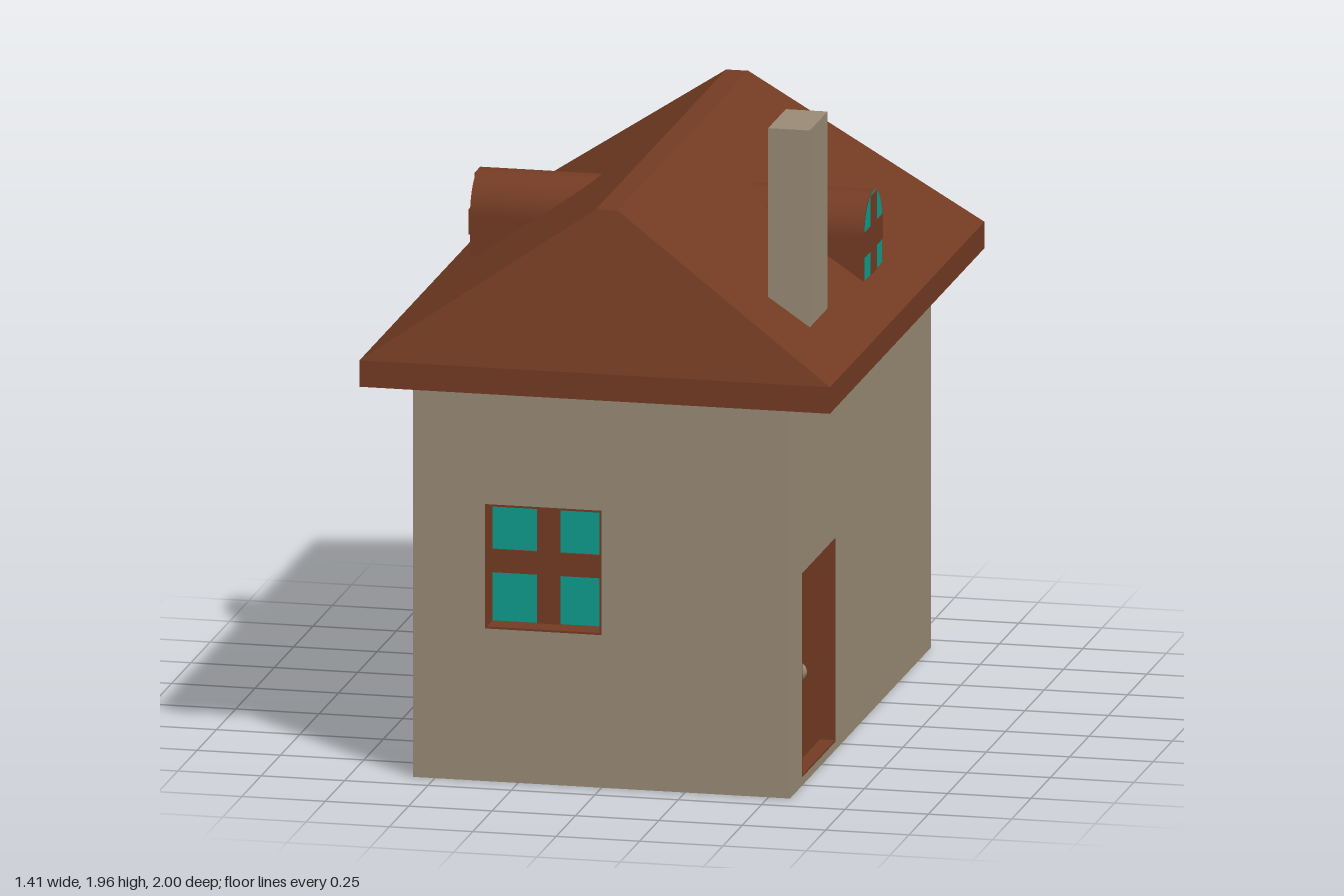
import * as THREE from 'three';

const mat = (name, color, side = THREE.FrontSide) =>
  new THREE.MeshStandardMaterial({ name, color, side });

export function createModel() {
  const house = new THREE.Group();
  house.name = 'house';
  const beige = mat('beige plaster', 0x998a75, THREE.DoubleSide);
  const brown = mat('brown wood', 0x733b23);
  const teal = mat('teal glass', 0x0f9c8d);

  const add = (parent, name, geometry, material, x = 0, y = 0, z = 0) => {
    const mesh = new THREE.Mesh(geometry, material);
    mesh.name = name;
    mesh.position.set(x, y, z);
    parent.add(mesh);
    return mesh;
  };
  const box = (parent, name, material, w, h, d, x, y, z) =>
    add(parent, name, new THREE.BoxGeometry(w, h, d), material, x, y, z);

  // A wall lies in its own x/y plane, facing +z, with an optional opening
  const wall = (name, width, distance, angle, hole) => {
    const group = new THREE.Group();
    group.name = name;
    group.rotation.y = angle;
    group.position.set(Math.sin(angle) * distance, 0, Math.cos(angle) * distance);
    const w = width / 2;
    const shape = new THREE.Shape([[-w, 0], [w, 0], [w, 1.19], [-w, 1.19]].map(p => new THREE.Vector2(...p)));
    if (hole) {
      const { x0, x1, y0, y1 } = hole;
      shape.holes.push(new THREE.Path([[x0, y0], [x0, y1], [x1, y1], [x1, y0]].map(p => new THREE.Vector2(...p))));
    }
    add(group, name + 'Surface', new THREE.ShapeGeometry(shape), beige);
    house.add(group);
    return group;
  };

  // Brown lining of a recessed opening
  const lining = (parent, { x0, x1, y0, y1 }, depth) => {
    const t = 0.006, cx = (x0 + x1) / 2, cy = (y0 + y1) / 2;
    for (const x of [x0 + t / 2, x1 - t / 2]) box(parent, 'jamb', brown, t, y1 - y0, depth, x, cy, -depth / 2);
    for (const y of [y0 + t / 2, y1 - t / 2]) box(parent, 'sill', brown, x1 - x0, t, depth, cx, y, -depth / 2);
  };

  const recessedWindow = (parent, hole, depth) => {
    const { x0, x1, y0, y1 } = hole;
    const w = x1 - x0, h = y1 - y0, cx = (x0 + x1) / 2, cy = (y0 + y1) / 2;
    lining(parent, hole, depth);
    box(parent, 'glass', teal, w, h, 0.008, cx, cy, -depth);
    box(parent, 'verticalBar', brown, 0.07, h, 0.02, cx, cy, -depth);
    box(parent, 'horizontalBar', brown, w, 0.07, 0.02, cx, cy, -depth);
    const boss = add(parent, 'barCentre', new THREE.CylinderGeometry(0.052, 0.052, 0.018, 8), brown, cx, cy, -depth);
    boss.rotation.set(Math.PI / 2, Math.PI / 8, 0);
  };

  // Walls, open underneath
  const frontHole = { x0: -0.35, x1: 0, y0: 0.46, y1: 0.835 };
  const sideHole = { x0: -0.555, x1: -0.007, y0: 0.455, y1: 0.77 };
  const doorHole = { x0: -0.755, x1: -0.325, y0: 0.025, y1: 0.64 };
  recessedWindow(wall('frontWall', 1.13, 0.912, 0, frontHole), frontHole, 0.08);
  recessedWindow(wall('rightWall', 1.824, 0.565, -Math.PI / 2, sideHole), sideHole, 0.12);
  wall('backWall', 1.13, 0.912, Math.PI);
  const doorWall = wall('leftWall', 1.824, 0.565, Math.PI / 2, doorHole);

  // Door with knob
  lining(doorWall, doorHole, 0.05);
  box(doorWall, 'door', brown, 0.43, 0.615, 0.01, -0.54, 0.3325, -0.05);
  add(doorWall, 'doorKnob', new THREE.SphereGeometry(0.029, 8, 6), beige, -0.685, 0.325, -0.03);

  // Hipped roof: upright eaves edge, then slopes up to a narrow flat ridge
  let roof = new THREE.BoxGeometry(1.41, 2, 2, 1, 2, 1);
  const p = roof.attributes.position;
  for (let i = 0; i < p.count; i++) {
    const level = Math.round(p.getY(i)) + 1;
    p.setY(i, [1.19, 1.27, 1.725][level]);
    if (level === 2) {
      p.setX(i, Math.sign(p.getX(i)) * 0.033);
      p.setZ(i, Math.sign(p.getZ(i)) * 0.845);
    }
  }
  roof = roof.toNonIndexed();
  roof.computeVertexNormals();
  add(house, 'roof', roof, brown);

  // Chimney
  box(house, 'chimney', beige, 0.125, 0.595, 0.23, 0.507, 1.6575, 0.56);

  // Arched dormers, one on each slope
  const arch = new THREE.Shape();
  arch.moveTo(-0.115, 0);
  arch.lineTo(0.115, 0);
  arch.lineTo(0.115, 0.13);
  arch.absarc(0, 0.13, 0.115, 0, Math.PI);
  arch.closePath();
  for (const side of [1, -1]) {
    const dormer = new THREE.Group();
    dormer.name = side > 0 ? 'leftDormer' : 'rightDormer';
    dormer.position.set(side * 0.59, 1.35, -0.048);
    dormer.rotation.y = side * Math.PI / 2;
    const extrude = depth => new THREE.ExtrudeGeometry(arch, { depth, bevelEnabled: false, curveSegments: 24 });
    add(dormer, 'dormerBody', extrude(0.39), brown, 0, 0, -0.39);
    add(dormer, 'dormerGlass', new THREE.ShapeGeometry(arch, 24), teal, 0, 0, 0.002);
    box(dormer, 'dormerVerticalBar', brown, 0.075, 0.238, 0.004, 0, 0.119, 0.003);
    box(dormer, 'dormerHorizontalBar', brown, 0.23, 0.075, 0.004, 0, 0.11, 0.003);
    house.add(dormer);
  }
  return house;
}
